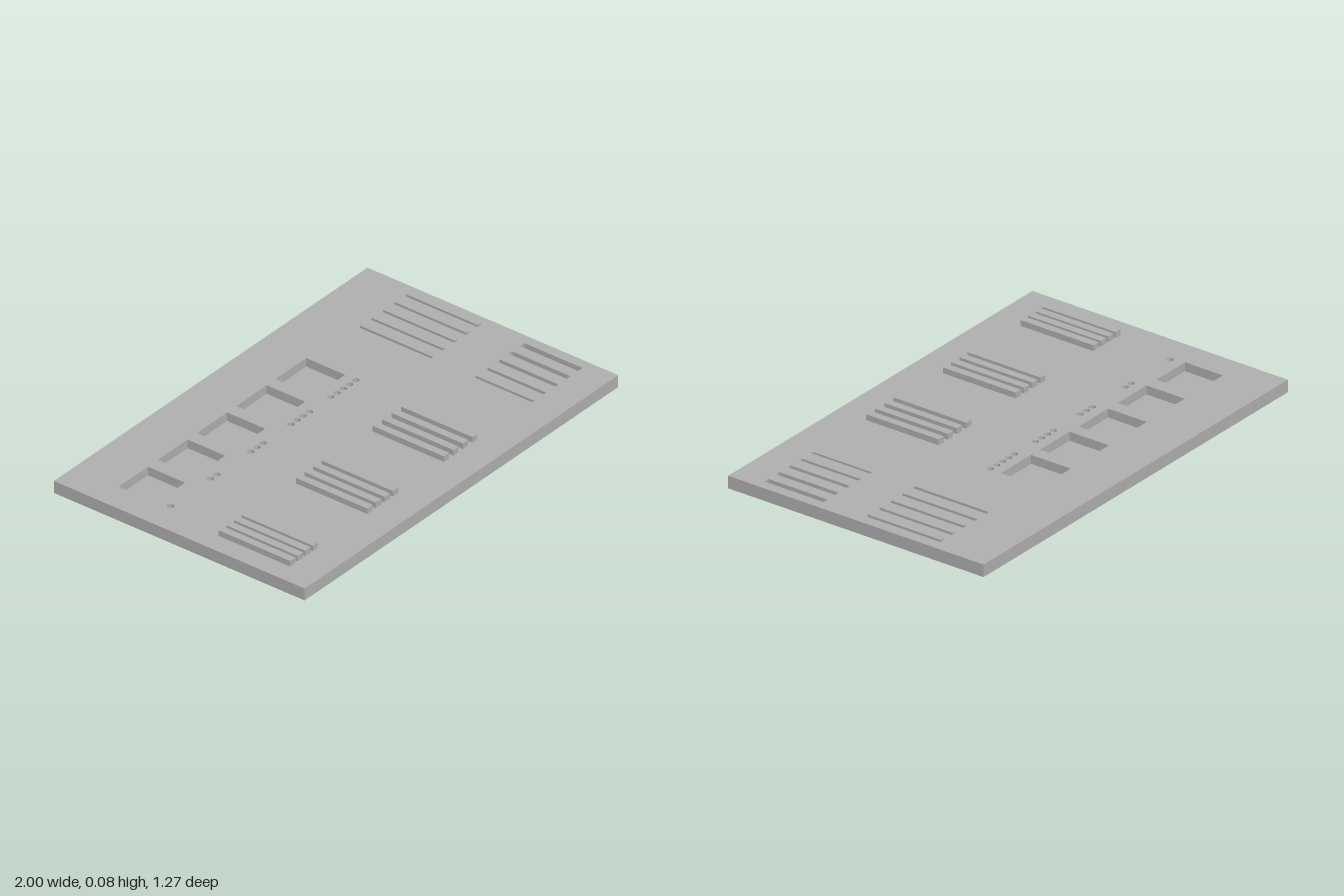
import * as THREE from 'three';

const HALF_DEPTH = 0.635, PLATE_TOP = 0.056, POCKET_FLOOR = 0.016;

// Outline from x/z limits; drawn with y = -z so it can be laid flat
function rect(PathType, x0, x1, z0, z1) {
  const p = new PathType();
  p.moveTo(x0, -z1);
  p.lineTo(x1, -z1);
  p.lineTo(x1, -z0);
  p.lineTo(x0, -z0);
  p.closePath();
  return p;
}

function layer(name, holes, y0, y1, material) {
  const shape = rect(THREE.Shape, -1, 1, -HALF_DEPTH, HALF_DEPTH);
  shape.holes.push(...holes);
  const geometry = new THREE.ExtrudeGeometry(shape, { depth: y1 - y0, bevelEnabled: false, curveSegments: 16 });
  geometry.rotateX(-Math.PI / 2).translate(0, y0, 0);
  const mesh = new THREE.Mesh(geometry, material);
  mesh.name = name;
  return mesh;
}

function rib(name, x, width, z0, z1, height, material) {
  const mesh = new THREE.Mesh(new THREE.BoxGeometry(width, height, z1 - z0), material);
  mesh.position.set(x, PLATE_TOP + height / 2, (z0 + z1) / 2);
  mesh.name = name;
  return mesh;
}

export function createModel() {
  const group = new THREE.Group();
  group.name = 'testPlate';
  const grey = new THREE.MeshStandardMaterial({ color: 0xb0b0b0 });
  grey.name = 'grey';

  // Slots cut right through, each wider than the last
  const slots = [], recesses = [];
  for (let i = 0; i < 5; i++) {
    const x = 0.639 + i * 0.075, w = 0.013 + i * 0.0036;
    slots.push(rect(THREE.Path, x - w / 2, x + w / 2, 0.197, 0.491));
  }

  // Square pockets, growing slightly, marked by one to five round dimples
  for (let i = 0; i < 5; i++) {
    const cx = -0.78 + i * 0.2525, half = 0.094 + i * 0.0012;
    recesses.push(rect(THREE.Path, cx - half, cx + half, -0.313 - half, -0.313 + half));
    for (let j = 0; j <= i; j++) {
      const dot = new THREE.Path();
      dot.absarc(-0.856 + i * 0.2555 + j * 0.0395, 0.158, 0.0145, 0, Math.PI * 2, false);
      recesses.push(dot);
    }
  }
  group.add(layer('plateBase', slots, 0, POCKET_FLOOR, grey));
  group.add(layer('plateTop', [...slots, ...recesses], POCKET_FLOOR, PLATE_TOP, grey));

  // Three sets of four tall ribs with widening gaps
  [[-0.892, 0.048], [-0.4, 0.0545], [0.088, 0.0605]].forEach(([start, pitch]) => {
    for (let i = 0; i < 4; i++) {
      group.add(rib('tallRib', start + i * pitch, 0.034, 0.128, 0.49, 0.026, grey));
    }
  });

  // Five low ribs of increasing width
  for (let i = 0; i < 5; i++) {
    group.add(rib('thinRib', 0.639 + i * 0.075, 0.008 + i * 0.003, -0.382, -0.02, 0.011, grey));
  }
  return group;
}
